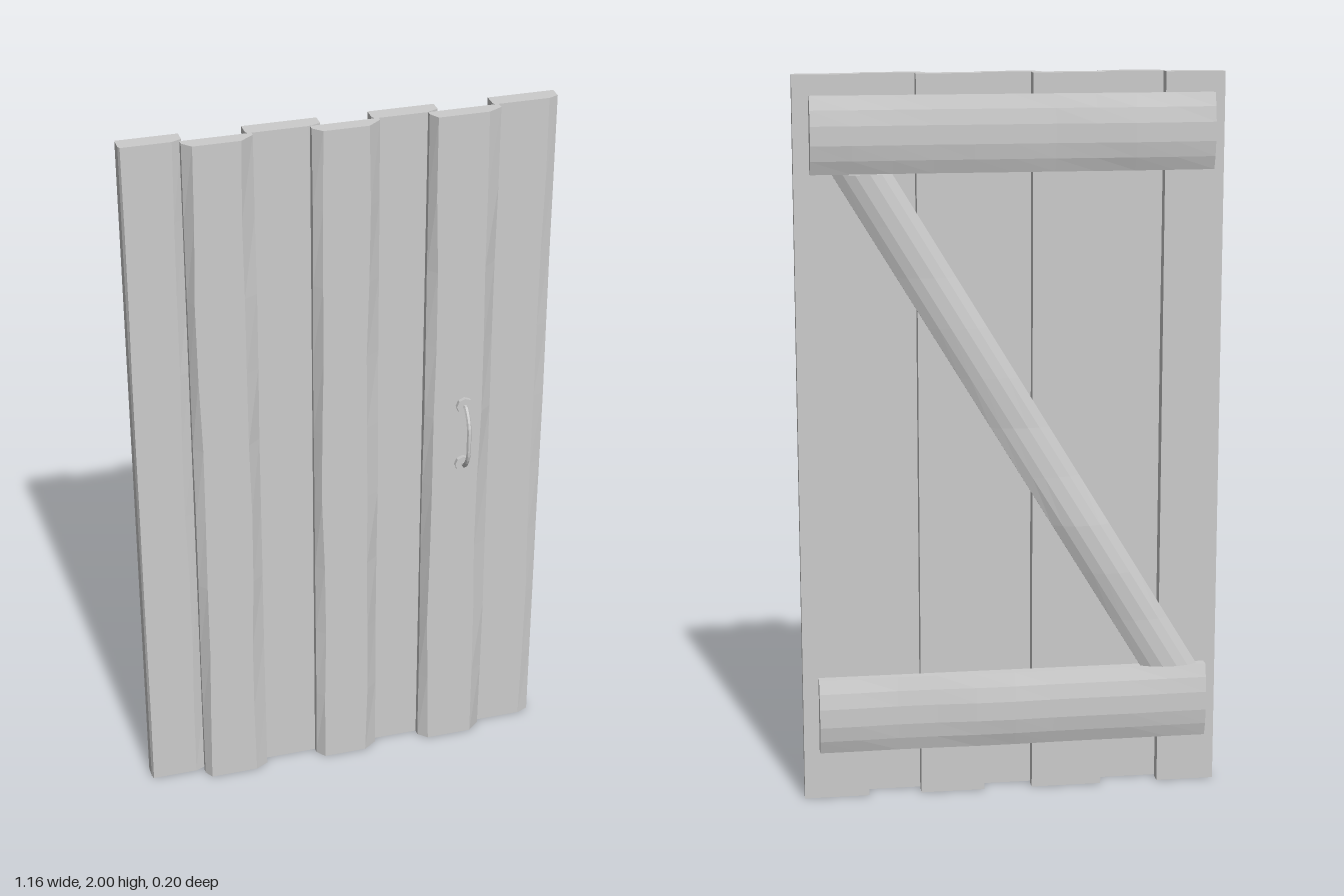
import * as THREE from 'three';

const material = new THREE.MeshStandardMaterial({ color: 0xcccccc, flatShading: true });

function addMesh(parent, name, geometry) {
  const mesh = new THREE.Mesh(geometry, material);
  mesh.name = name;
  parent.add(mesh);
  return mesh;
}

// Closed solid through rings of [x, y, z] points, counterclockwise about the sweep direction
function loft(segments, ringAt) {
  const positions = [], index = [];
  let n = 0;
  for (let s = 0; s <= segments; s++) {
    const ring = ringAt(s / segments);
    n = ring.length;
    ring.forEach((p) => positions.push(...p));
  }
  for (let s = 0; s < segments; s++) {
    for (let i = 0; i < n; i++) {
      const a = s * n + i, b = s * n + (i + 1) % n;
      index.push(a, b, b + n, a, b + n, a + n);
    }
  }
  const top = segments * n;
  for (let i = 1; i < n - 1; i++) {
    index.push(0, i + 1, i, top, top + i, top + i + 1);
  }
  const geometry = new THREE.BufferGeometry();
  geometry.setAttribute('position', new THREE.Float32BufferAttribute(positions, 3));
  geometry.setIndex(index);
  const flat = geometry.toNonIndexed();
  flat.computeVertexNormals();
  return flat;
}

// Gentle hand-hewn unevenness
const wobble = (t, seed) => 0.6 * Math.sin(t * 9 + seed * 2.1) + 0.4 * Math.sin(t * 17 + seed * 4.7);

// Upright board with worn front corners
function plank(x0, x1, z0, z1, chamferLeft, chamferRight, depth, seed) {
  return loft(9, (t) => {
    const y = 2 * t;
    const w = wobble(t, seed), v = wobble(t, seed + 1.3);
    const cl = chamferLeft * (1 + 0.3 * w), cr = chamferRight * (1 + 0.15 * v);
    const dl = depth * (1 + 0.25 * v), dr = depth * (1 + 0.25 * w);
    return [
      [x0 + cl, y, z1], [x1 - cr, y, z1], [x1, y, z1 - dr],
      [x1, y, z0], [x0, y, z0], [x0, y, z1 - dl],
    ];
  });
}

// Half-round timber profile: position across (-1 to 1) and share of the bulge
const BULGE = [[1, 0], [0.65, 0.6], [0.25, 0.95], [-0.25, 0.95], [-0.65, 0.6], [-1, 0]];
const BACK = -0.047;

export function createModel() {
  const door = new THREE.Group();
  door.name = 'plankDoor';

  // Rear layer of boards
  const rear = new THREE.Group();
  rear.name = 'rearPlanks';
  door.add(rear);
  [[-0.582, -0.42], [-0.257, -0.06], [0.075, 0.253], [0.4, 0.58]].forEach(([a, b], i) =>
    addMesh(rear, `rearPlank${i + 1}`, plank(a, b, BACK, 0, 0.004, 0.03, 0.012, i)));

  // Front layer covering the gaps
  const front = new THREE.Group();
  front.name = 'frontPlanks';
  door.add(front);
  [[-0.427, -0.242], [-0.09, 0.091], [0.223, 0.414]].forEach(([a, b], i) =>
    addMesh(front, `frontPlank${i + 1}`, plank(a, b, 0, 0.041, 0.02, 0.036, 0.025, i + 5)));

  // Horizontal half-round rails on the back
  const rails = [['lowerRail', 0.14, 0.35, 3], ['upperRail', 1.74, 1.945, 7]];
  for (const [name, y0, y1, seed] of rails) {
    const mid = (y0 + y1) / 2, half = (y1 - y0) / 2;
    addMesh(door, name, loft(10, (t) => {
      const x = THREE.MathUtils.lerp(-0.55, 0.537, t);
      const side = -0.074 + 0.003 * wobble(t, seed);
      const bulge = 0.02 + 0.003 * wobble(t, seed + 2);
      const ring = [[x, y1, BACK], [x, y0, BACK]];
      for (const [u, b] of [...BULGE].reverse()) ring.push([x, mid + u * half, side - b * bulge]);
      return ring;
    }));
  }

  // Diagonal brace cut level at both rails
  addMesh(door, 'diagonalBrace', loft(10, (t) => {
    const x = THREE.MathUtils.lerp(-0.445, 0.4, t), y = THREE.MathUtils.lerp(0.35, 1.74, t);
    const side = -0.068 + 0.003 * wobble(t, 4);
    const bulge = 0.021 + 0.004 * wobble(t, 6);
    const ring = [[x - 0.08, y, BACK], [x + 0.08, y, BACK]];
    for (const [u, b] of BULGE) ring.push([x + u * 0.08, y, side - b * bulge]);
    return ring;
  }));

  // Pull handle
  const handle = new THREE.Group();
  handle.name = 'handle';
  handle.position.set(0.33, 1.047, 0);
  door.add(handle);
  for (const s of [-1, 1]) {
    const plate = addMesh(handle, s < 0 ? 'lowerHandleMount' : 'upperHandleMount',
      new THREE.CylinderGeometry(0.024, 0.024, 0.012, 8));
    plate.rotation.x = Math.PI / 2;
    plate.position.set(0, s * 0.093, 0.046);
  }
  const path = [[-0.093, 0.045], [-0.093, 0.058], [-0.072, 0.078], [-0.045, 0.09],
    [0, 0.092], [0.045, 0.09], [0.072, 0.078], [0.093, 0.058], [0.093, 0.045]];
  const bow = new THREE.CatmullRomCurve3(path.map(([y, z]) => new THREE.Vector3(0, y, z)));
  addMesh(handle, 'handleGrip', new THREE.TubeGeometry(bow, 16, 0.0065, 6));

  return door;
}
